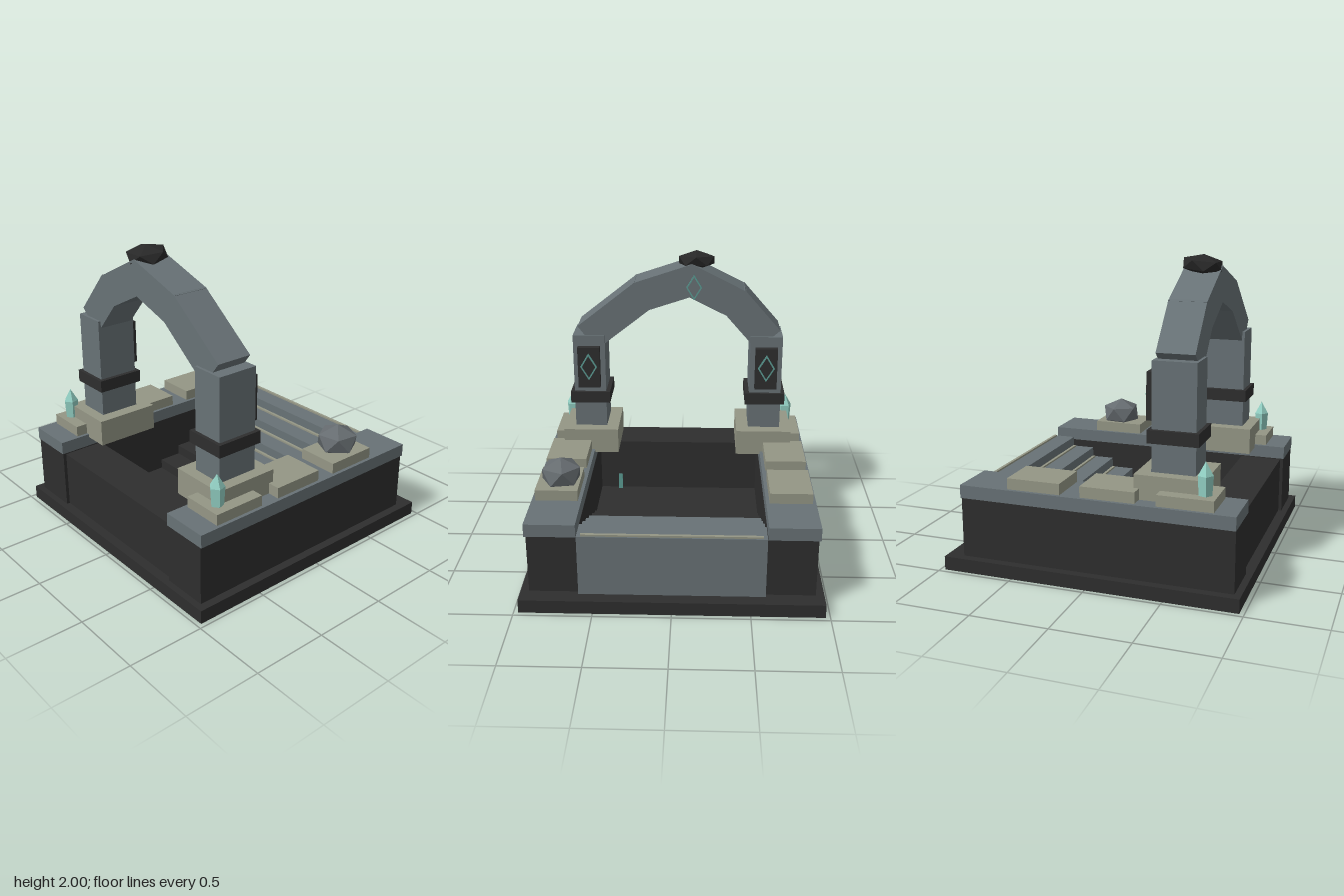
import * as THREE from 'three';

const mat = (name, color, extra = {}) =>
  Object.assign(new THREE.MeshStandardMaterial({ color, ...extra }), { name });

export function createModel() {
  const stone = mat('grey stone', 0x687276);
  const dark = mat('dark stone', 0x2e2e2e);
  const tan = mat('pale slab', 0x949685);
  const boulderGrey = mat('boulder grey', 0x666c70, { flatShading: true });
  const capDark = mat('dark rock', 0x282828, { flatShading: true });
  const crystalTeal = mat('crystal teal', 0x92cfc3, { flatShading: true });
  const runeTeal = mat('rune teal', 0x5c9c94);

  const root = new THREE.Group();
  root.name = 'sunkenShrine';

  const add = (name, geometry, material, x = 0, y = 0, z = 0) => {
    const mesh = new THREE.Mesh(geometry, material);
    mesh.name = name;
    mesh.position.set(x, y, z);
    root.add(mesh);
    return mesh;
  };
  // Box given by its minimum and maximum along each axis
  const block = (name, material, x0, x1, y0, y1, z0, z1) =>
    add(name, new THREE.BoxGeometry(x1 - x0, y1 - y0, z1 - z0), material,
      (x0 + x1) / 2, (y0 + y1) / 2, (z0 + z1) / 2);
  // Same box on either side of the model
  const sideBlock = (name, material, s, a, b, ...rest) =>
    block(name, material, Math.min(s * a, s * b), Math.max(s * a, s * b), ...rest);

  // Thin diamond outline
  const rune = (name, x, y, z, w, h) => {
    const diamond = (Type, k) => {
      const p = new Type();
      p.moveTo(0, h * k);
      p.lineTo(w * k, 0);
      p.lineTo(0, -h * k);
      p.lineTo(-w * k, 0);
      p.closePath();
      return p;
    };
    const shape = diamond(THREE.Shape, 1);
    shape.holes.push(diamond(THREE.Path, 0.8));
    const geo = new THREE.ExtrudeGeometry(shape, { depth: 0.009, bevelEnabled: false });
    return add(name, geo, runeTeal, x, y, z);
  };

  // Squashed rock with one corner pointing up
  const rock = (name, material, r, squash, x, y, z, turn) => {
    const geo = new THREE.IcosahedronGeometry(r, 0);
    geo.rotateZ(-Math.atan2(2, 1 + Math.sqrt(5)));
    geo.rotateY(turn);
    geo.scale(1, squash, 1);
    return add(name, geo, material, x, y, z);
  };

  // Plinth and front wall of the pit
  block('plinth', dark, -0.97, 0.97, 0, 0.09, -0.97, 0.97);
  block('frontWall', dark, -0.61, 0.61, 0.09, 0.48, 0.62, 0.905);

  // Stairs descending from the back into the pit
  const pitch = 0.1625;
  for (let i = 0; i < 6; i++) {
    const z0 = -0.885 + i * pitch;
    const top = 0.505 - i * 0.069;
    block('step', i < 4 ? stone : dark, -0.596, 0.596, 0.09, top, z0, z0 + pitch);
    if (i < 4) block('stepTrim', tan, -0.57, 0.57, top, top + 0.012, z0 + 0.008, z0 + 0.028);
  }

  for (const s of [-1, 1]) {
    // Side walls, copings and slabs
    sideBlock('sideWall', dark, s, 0.6, 0.915, 0.09, 0.486, -0.858, 0.927);
    sideBlock('coping', stone, s, 0.602, 0.928, 0.486, 0.572, -0.86, 0.93);
    for (const z of [-0.36, 0.127, 0.615])
      sideBlock('slab', tan, s, 0.625, 0.905, 0.572, 0.644, z - 0.177, z + 0.177);

    // Pillars
    sideBlock('pedestal', tan, s, 0.43, 0.823, 0.55, 0.73, 0.27, 0.712);
    sideBlock('pillar', stone, s, 0.517, 0.745, 0.73, 1.417, 0.357, 0.637);
    sideBlock('pillarBand', dark, s, 0.488, 0.772, 0.915, 0.998, 0.335, 0.66);
    sideBlock('runePanel', dark, s, 0.553, 0.71, 1.04, 1.34, 0.312, 0.358);
    rune('pillarRune', s * 0.632, 1.2, 0.302, 0.06, 0.1);

    // Corner crystals
    const profile = [[0, 0], [0.042, 0], [0.05, 0.125], [0, 0.21]]
      .map(([r, y]) => new THREE.Vector2(r, y));
    add('crystal', new THREE.LatheGeometry(profile, 5), crystalTeal, s * 0.813, 0.642, 0.715);
  }

  // Irregular arch: four straight blocks laid along its outer line
  const outer = [
    [-0.725, 1.46, -0.47, 1.75], [-0.48, 1.74, -0.1, 1.93],
    [-0.1, 1.93, 0.31, 1.795], [0.3, 1.8, 0.71, 1.48],
  ];
  const thick = 0.217;
  outer.forEach(([x0, y0, x1, y1]) => {
    const a = Math.atan2(y1 - y0, x1 - x0);
    const m = add('archBlock',
      new THREE.BoxGeometry(Math.hypot(x1 - x0, y1 - y0), thick, 0.245), stone,
      (x0 + x1) / 2 + Math.sin(a) * thick / 2, (y0 + y1) / 2 - Math.cos(a) * thick / 2, 0.496);
    m.rotation.z = a;
  });
  rune('archRune', -0.115, 1.77, 0.355, 0.055, 0.09);

  // Rocks
  rock('keystoneRock', capDark, 0.145, 0.46, -0.13, 1.935, 0.495, 0.3).rotation.x = 0.1;
  rock('boulder', boulderGrey, 0.147, 0.74, 0.75, 0.7, -0.38, 0.5);

  // Small rune bar low on the pit wall
  block('pitRune', runeTeal, 0.435, 0.465, 0.09, 0.215, 0.59, 0.599);

  return root;
}
